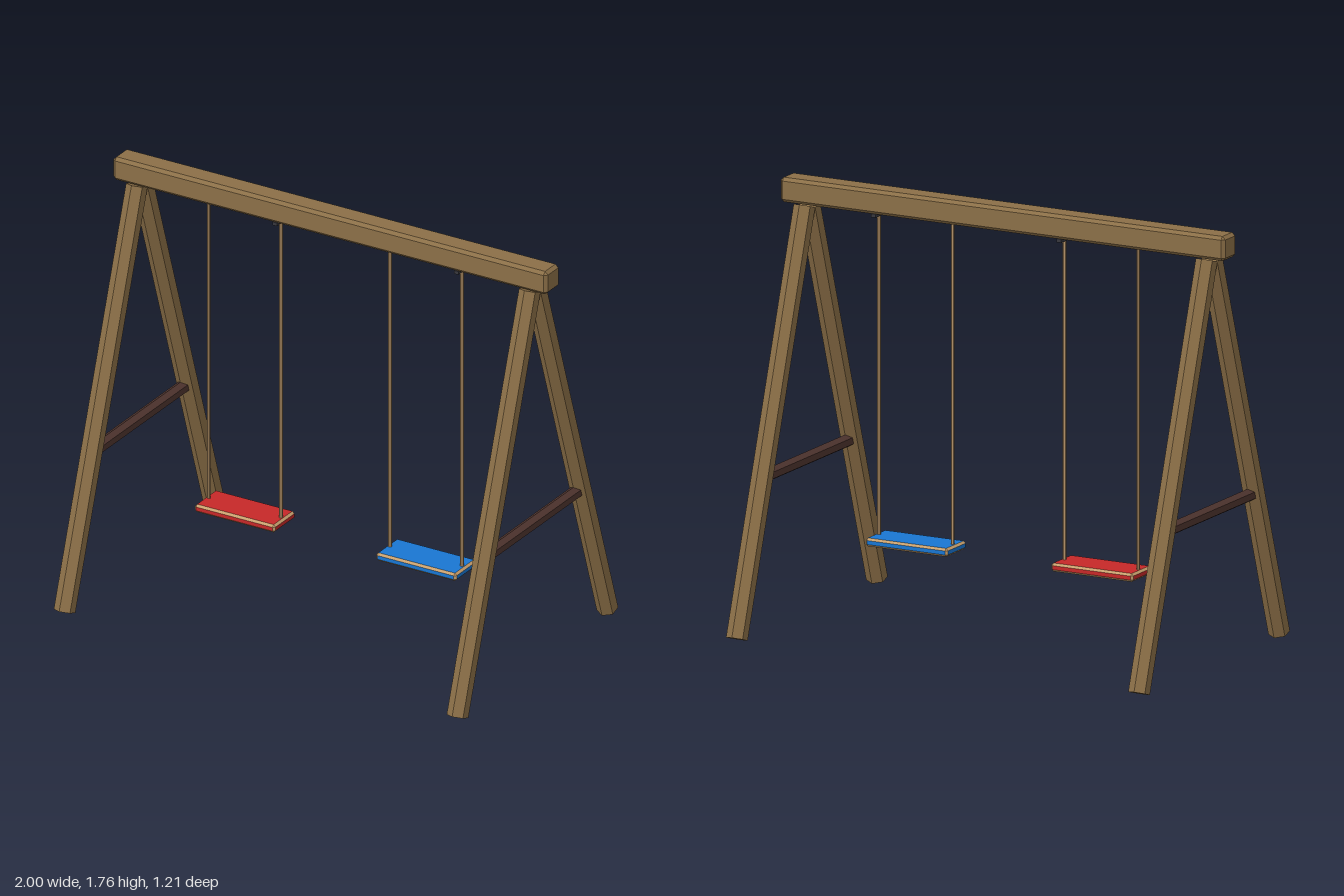
import * as THREE from 'three';
import { ConvexGeometry } from 'three/addons/geometries/ConvexGeometry.js';

const mat = (color) => new THREE.MeshStandardMaterial({ color, flatShading: true });
const wood = mat(0x8b6f47);
const braceWood = mat(0x4e342e);
const trim = mat(0xc8a06e);
const ropeMat = mat(0xb8956a);
const metal = mat(0x37373d);

// Box with every edge cut by c
function chamferBox(w, h, d, c) {
  const half = [w / 2, h / 2, d / 2];
  const points = [];
  for (const sx of [-1, 1]) for (const sy of [-1, 1]) for (const sz of [-1, 1])
    for (let face = 0; face < 3; face++) {
      const p = half.map((v, i) => (i === face ? v : v - c));
      points.push(new THREE.Vector3(p[0] * sx, p[1] * sy, p[2] * sz));
    }
  return new ConvexGeometry(points);
}

// Keep only the flat faces (flat = true) or only the cut edges (flat = false)
function pickFaces(geometry, flat) {
  const pos = geometry.attributes.position.array;
  const nor = geometry.attributes.normal.array;
  const kept = [];
  for (let i = 0; i < pos.length; i += 9) {
    const largest = Math.max(...[0, 1, 2].map((k) => Math.abs(nor[i + k])));
    if (largest > 0.99 === flat) kept.push(...pos.slice(i, i + 9));
  }
  const out = new THREE.BufferGeometry();
  out.setAttribute('position', new THREE.Float32BufferAttribute(kept, 3));
  out.computeVertexNormals();
  return out;
}

// Round or hexagonal bar between two points
function bar(name, a, b, radius, sides, material) {
  const dir = new THREE.Vector3().subVectors(b, a);
  const mesh = new THREE.Mesh(new THREE.CylinderGeometry(radius, radius, dir.length(), sides), material);
  mesh.position.addVectors(a, b).multiplyScalar(0.5);
  mesh.quaternion.setFromUnitVectors(new THREE.Vector3(0, 1, 0), dir.normalize());
  mesh.name = name;
  return mesh;
}

const v = (x, y, z) => new THREE.Vector3(x, y, z);

function createSwing(name, x, color) {
  const swing = new THREE.Group();
  swing.name = name;
  swing.position.x = x;

  // Seat with coloured faces and pale cut edges
  const seat = chamferBox(0.37, 0.034, 0.16, 0.009);
  const panels = new THREE.Mesh(pickFaces(seat, true), mat(color));
  panels.name = 'seatPanels';
  const edges = new THREE.Mesh(pickFaces(seat, false), trim);
  edges.name = 'seatEdges';
  panels.position.y = edges.position.y = 0.337;
  swing.add(panels, edges);

  // Ropes
  for (const s of [-1, 1])
    swing.add(bar('rope', v(s * 0.166, 0.35, 0), v(s * 0.166, 1.67, 0), 0.0075, 6, ropeMat));

  // Hanger under the beam
  const hanger = new THREE.Mesh(new THREE.BoxGeometry(0.02, 0.014, 0.09), metal);
  hanger.name = 'hanger';
  hanger.position.set(0.166, 1.654, 0);
  swing.add(hanger);
  return swing;
}

export function createModel() {
  const model = new THREE.Group();
  model.name = 'swingSet';

  // Top beam
  const beam = new THREE.Mesh(chamferBox(2, 0.1, 0.104, 0.013), wood);
  beam.name = 'topBeam';
  beam.position.y = 1.71;
  model.add(beam);

  // A-frames at both ends
  for (const side of [-1, 1]) {
    const frame = new THREE.Group();
    frame.name = side > 0 ? 'leftFrame' : 'rightFrame';
    frame.position.x = side * 0.905;
    for (const s of [-1, 1])
      frame.add(bar('leg', v(0, 0.0137, s * 0.565), v(0, 1.65, s * 0.02), 0.043, 6, wood));
    frame.add(bar('crossBrace', v(0, 0.624, -0.345), v(0, 0.624, 0.345), 0.027, 6, braceWood));
    model.add(frame);
  }

  model.add(createSwing('leftSwing', 0.415, 0x1976d2));
  model.add(createSwing('rightSwing', -0.42, 0xc62828));
  return model;
}
